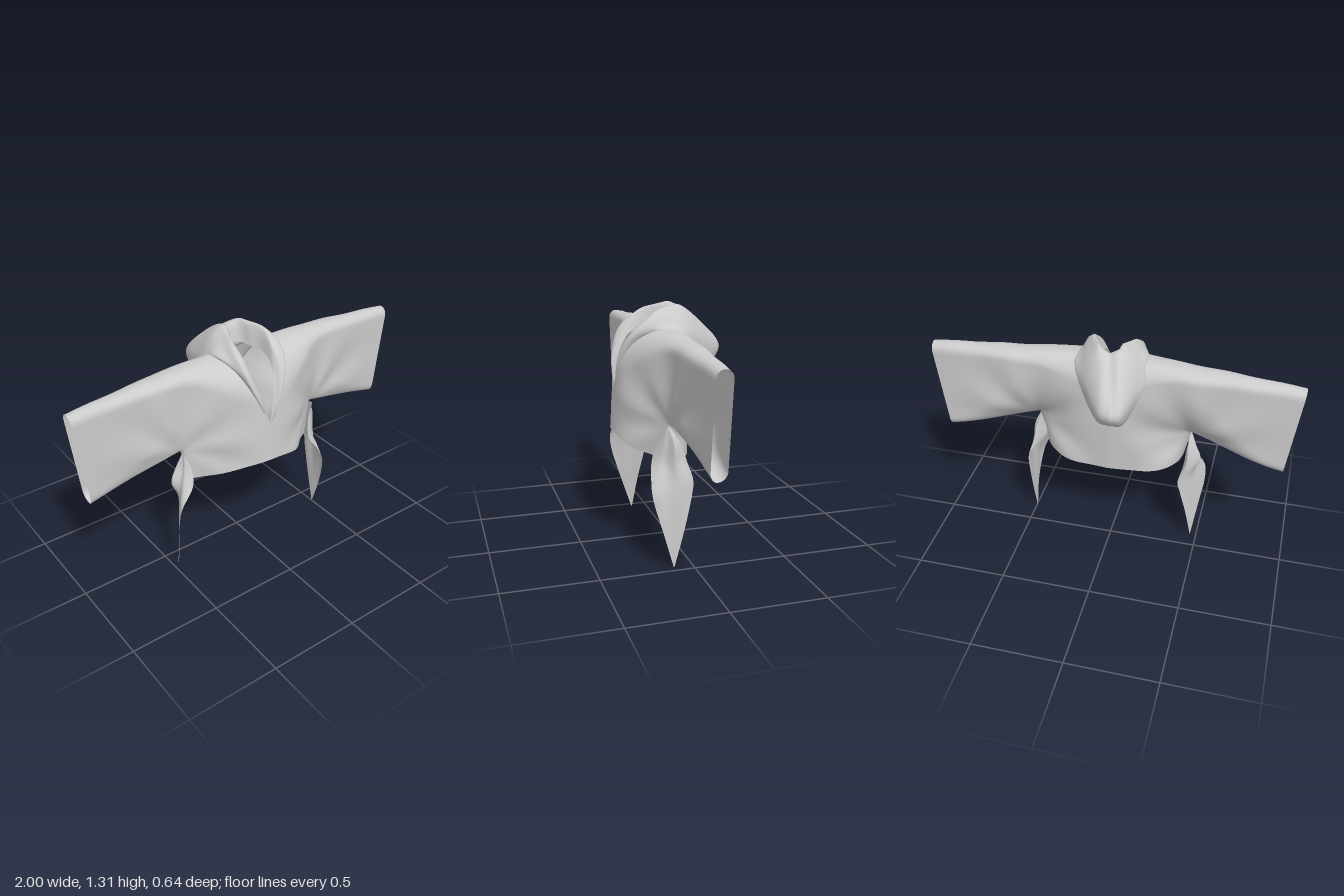
import * as THREE from 'three';
import { mergeGeometries, mergeVertices } from 'three/addons/utils/BufferGeometryUtils.js';

const { lerp, clamp, smoothstep } = THREE.MathUtils;
const V = (x, y, z) => new THREE.Vector3(x, y, z);

// Sheet of nu x nv quads from a function f(u, v) -> [x, y, z]
function grid(nu, nv, f, flip) {
  const pos = [], idx = [];
  for (let i = 0; i <= nu; i++)
    for (let j = 0; j <= nv; j++) pos.push(...f(i / nu, j / nv));
  for (let i = 0; i < nu; i++)
    for (let j = 0; j < nv; j++) {
      const a = i * (nv + 1) + j, b = a + nv + 1;
      if (flip) idx.push(a, b, a + 1, b, b + 1, a + 1);
      else idx.push(a, a + 1, b, b, a + 1, b + 1);
    }
  const g = new THREE.BufferGeometry();
  g.setAttribute('position', new THREE.Float32BufferAttribute(pos, 3));
  g.setIndex(idx);
  return g;
}

// Cloth outline: shoulder line, armpit and sleeve bottom
const PIT = { x: 0.43, y: 0.75 };
const topY = x => 1.205 - 0.055 * Math.pow(clamp((x - 0.1) / 0.9, 0, 1), 1.3) + 0.0015 * Math.sin(x * 23);
const sleeveBottom = x => PIT.y - 0.13 * clamp((x - PIT.x) / 0.57, 0, 1);
const round = d => Math.sqrt(Math.max(0, 1 - (1 - clamp(d, 0, 1)) ** 2));

// Depth of the cloth at (x, y) with x >= 0; xs is the unslanted sleeve position
function depth(x, y, xs, front, s) {
  const drop = topY(xs) - y;
  // distance to the closed underside: sleeve bottom, armpit, or side seam
  let d;
  if (xs >= PIT.x) d = y - sleeveBottom(xs);
  else if (y > PIT.y) d = Math.hypot(y - PIT.y, PIT.x - x);
  else d = PIT.x - 0.04 * (PIT.y - y) / 0.18 - x;
  const wide = 1 - smoothstep(xs, 0.25, 0.95);
  const mid = lerp(0.045, 0.05 + 0.075 * wide, clamp(drop / 0.6, 0, 1));
  // the chest bulges a little more towards the left
  const body = Math.exp(-Math.pow(Math.abs(x - 0.03 * s) / 0.3, 2.5));
  const zf = 0.085 + 0.055 * (1 - xs) + 0.16 * body + 0.07 * body * (0.9 - y);
  const zb = -0.071 * (1 - xs) + 0.055 * body * Math.max(0, 0.85 - y);
  const rTop = front ? 0.045 + 0.19 * body : 0.045 + 0.09 * body;
  // the back is drawn in softly above the armpit
  const drawn = front ? 0 : wide * smoothstep(y, 0.55, 0.78);
  const rSide = 0.05 + 0.17 * wide + 0.16 * drawn;
  const close = round(drop / rTop) * Math.pow(round(d / rSide), 1 + drawn);
  // folds radiating from the armpit
  const ang = Math.atan2(y - PIT.y, x - PIT.x);
  const far = Math.hypot(y - PIT.y, x - PIT.x);
  const amp = 0.006 * smoothstep(far, 0.03, 0.2) * (1 - smoothstep(far, 0.3, 0.56)) * smoothstep(x, 0, 0.2);
  const fold = amp * Math.sin(ang * 7 + s * 0.7 + (front ? 0 : 1.5));
  return mid + ((front ? zf : zb) - mid + fold) * close;
}

const ROWS = 28, HEM_ROWS = 12;
const ease = v => 0.5 - 0.5 * Math.cos(Math.PI * v);

// Half of the front or back of the body, from neckline and centre line to the side seam
function bodyHalf(s, front) {
  const neckY = front ? 0.85 : 1.165, hemY = front ? 0.645 : 0.53;
  return grid(28, ROWS + HEM_ROWS, (u, v) => {
    const r = v * (ROWS + HEM_ROWS);
    const k = ease(Math.min(1, r / ROWS)), h = Math.max(0, (r - ROWS) / HEM_ROWS);
    const x = lerp(0.16 * (1 - k), PIT.x - 0.04 * h, u);
    const yIn = h > 0 ? lerp(neckY, hemY, h) : lerp(topY(0.16), neckY, k);
    const yOut = h > 0 ? PIT.y - 0.18 * h : lerp(topY(PIT.x), PIT.y, k);
    const curve = front ? u * u * (3 - 2 * u) : u ** 2.5;
    let y = lerp(yIn, yOut, lerp(u, curve, h));
    if (k < 1e-6) y = topY(x);
    return [s * x, y, depth(x, y, x, front, s)];
  }, (s < 0) !== !front);
}

// Wide sleeve, open at a slanting cuff
function sleeveHalf(s, front) {
  return grid(36, ROWS, (u, v) => {
    const xs = PIT.x + 0.57 * u, k = ease(v);
    const x = xs - 0.06 * u * k;
    const y = lerp(topY(xs), sleeveBottom(xs), k);
    return [s * x, y, depth(x, y, xs, front, s)];
  }, (s < 0) !== !front);
}

// Hood sections from centre back to the point of the neck opening;
// each runs seam, nape, underside, outer fold, two rim points, inner edge
const hoodSections = [
  [[0, 1.165, -.02], [0, .99, -.075], [0, .92, -.17], [0, 1.05, -.322], [0, 1.19, -.2], [0, 1.28, -.07], [0, 1.19, -.03]],
  [[.1, 1.18, -.01], [.1, 1.03, -.08], [.085, .95, -.17], [.07, 1.07, -.28], [.055, 1.22, -.17], [.045, 1.3, -.05], [.035, 1.19, -.01]],
  [[.165, 1.185, .01], [.18, 1.14, -.05], [.175, 1.13, -.08], [.15, 1.18, -.08], [.11, 1.26, -.05], [.065, 1.305, 0], [.06, 1.18, .05]],
  [[.165, 1.19, .07], [.18, 1.195, .07], [.178, 1.21, .08], [.155, 1.24, .08], [.13, 1.265, .09], [.1, 1.275, .1], [.08, 1.18, .1]],
  [[.135, 1.14, .2], [.138, 1.15, .22], [.132, 1.165, .23], [.12, 1.19, .22], [.1, 1.205, .2], [.085, 1.195, .19], [.068, 1.14, .2]],
  [[.08, 1.02, .27], [.082, 1.02, .283], [.078, 1.025, .29], [.07, 1.03, .29], [.06, 1.03, .285], [.05, 1.025, .275], [.038, 1.02, .265]],
  Array(7).fill([0, .85, .292])
];
const spline = pts => new THREE.CatmullRomCurve3(pts, false, 'catmullrom', 0.5);
const hoodRails = hoodSections[0].map((_, k) => spline(hoodSections.map(sec => V(...sec[k]))));

function hoodHalf(s) {
  return grid(48, 36, (u, v) => {
    const p = spline(hoodRails.map(c => c.getPoint(u))).getPoint(v);
    const ripple = 0.006 * Math.sin(Math.PI * v) * Math.sin(Math.PI * u) * Math.sin(u * 26 + v * 9 + s);
    const x = Math.max(0, p.x) * (1 + ripple * 4);
    // the pouch sags a little to one side
    return [s * x + 0.22 * Math.min(0, p.z), p.y + ripple, p.z];
  }, s < 0);
}

// Hanging tails: height, front edge x z, back edge x z, bulge of the middle
const tails = {
  rightTail: [
    [.75, -.43, .13, -.42, .11, 0], [.66, -.405, .16, -.42, .06, -.04], [.57, -.42, .19, -.42, .035, -.06],
    [.47, -.5, .207, -.384, .005, -.015], [.36, -.514, .195, -.4, .025, -.005], [.2, -.492, .15, -.432, .055, 0],
    [.005, -.465, .09, -.465, .085, 0]],
  leftTail: [
    [.75, .43, .13, .42, .11, 0], [.66, .38, .16, .45, .06, .035], [.57, .365, .19, .465, .035, .04],
    [.48, .42, .21, .488, .01, .02], [.38, .462, .21, .49, .02, .01], [.2, .489, .163, .491, .06, 0],
    [.02, .49, .112, .49, .108, 0]]
};
function tail(rows) {
  const front = spline(rows.map(r => V(r[1], r[0], r[2])));
  const back = spline(rows.map(r => V(r[3], r[0], r[4])));
  const bulge = spline(rows.map(r => V(r[5], 0, 0)));
  const s = Math.sign(rows[0][1]);
  const leaf = grid(36, 16, (u, v) => {
    const p = front.getPoint(u).lerp(back.getPoint(u), v), b = bulge.getPoint(u).x;
    return [p.x + b * (Math.sin(Math.PI * v) + 0.25 * Math.sin(4 * Math.PI * v)), p.y, p.z];
  });
  // the upper part folds back in to the side seam
  const fold = grid(18, 8, (u, v) => {
    const p = back.getPoint(u / 2);
    const seam = V(s * lerp(0.43, 0.385, u), p.y, 0.12).lerp(p, smoothstep(u, 0.55, 1));
    p.lerp(seam, v);
    return [p.x, p.y, p.z - 0.015 * Math.sin(Math.PI * v) * Math.sin(Math.PI * u)];
  });
  return [leaf, fold];
}

export function createModel() {
  const group = new THREE.Group();
  const cloth = new THREE.MeshStandardMaterial({ color: 0xcccccc, side: THREE.DoubleSide });
  const add = (name, parts) => {
    const g = mergeVertices(mergeGeometries(parts), 1e-4);
    g.computeVertexNormals();
    const m = new THREE.Mesh(g, cloth);
    m.name = name;
    group.add(m);
  };

  // Body and sleeves share one smooth skin
  const skin = [];
  for (const s of [1, -1])
    for (const front of [true, false]) skin.push(bodyHalf(s, front), sleeveHalf(s, front));
  add('bodyAndSleeves', skin);
  add('hood', [hoodHalf(1), hoodHalf(-1)]);
  for (const name in tails) add(name, tail(tails[name]));
  return group;
}
